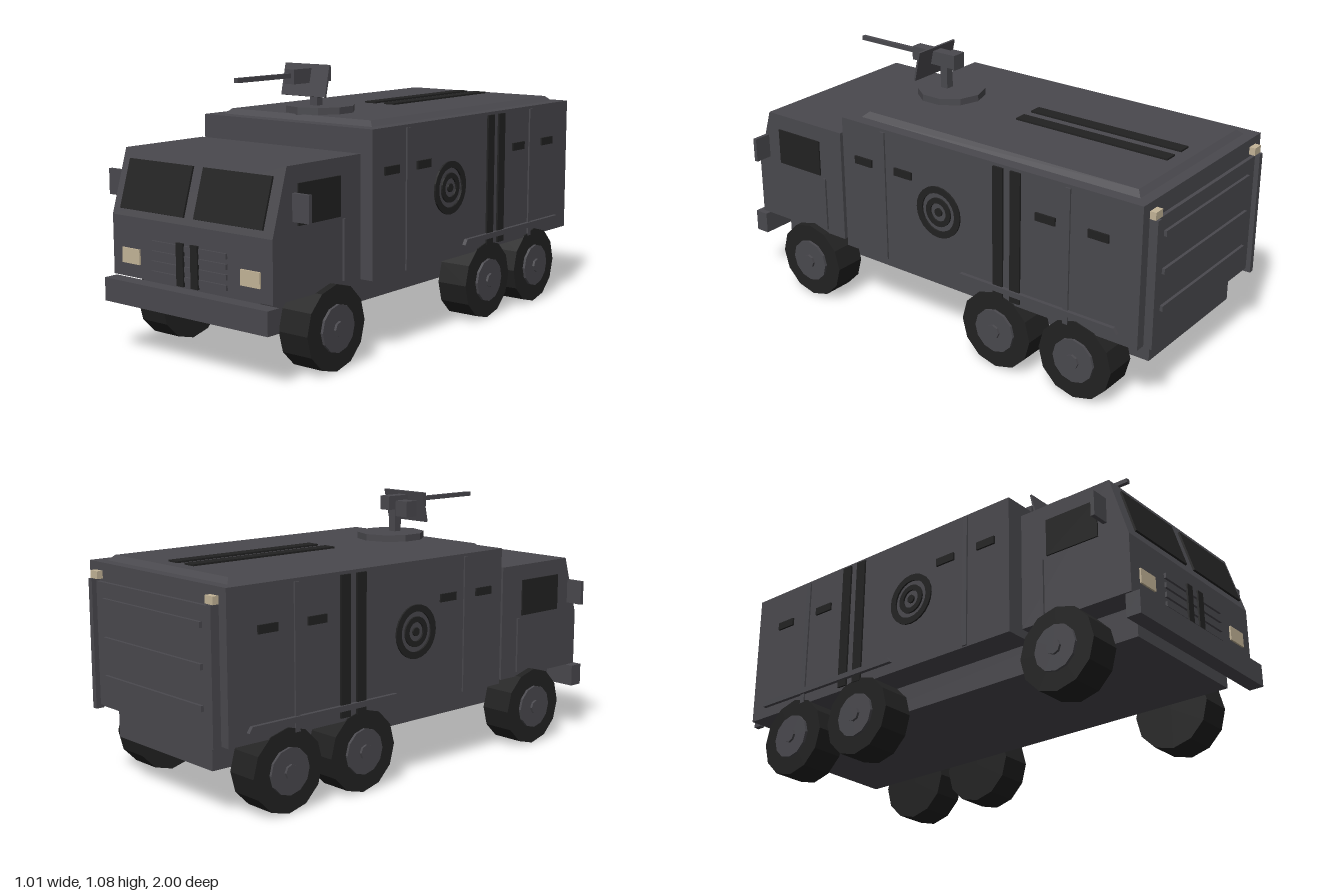
import * as THREE from 'three';

export function createModel() {
  const root = new THREE.Group();
  const material = (name, color) => {
    const m = new THREE.MeshStandardMaterial({ color });
    m.name = name;
    return m;
  };
  const paint = material('body grey', 0x4a494e);
  const dark = material('dark rubber and glass', 0x222222);
  const lamp = material('lamp beige', 0xc4b598);

  function add(name, geometry, mat, parent = root) {
    const g = geometry.index ? geometry.toNonIndexed() : geometry;
    g.computeVertexNormals(); // crisp facets
    const mesh = new THREE.Mesh(g, mat);
    mesh.name = name;
    parent.add(mesh);
    return mesh;
  }
  // Box given by its limits on each axis
  function box(name, mat, [x0, x1], [y0, y1], [z0, z1], parent) {
    const g = new THREE.BoxGeometry(x1 - x0, y1 - y0, z1 - z0);
    g.translate((x0 + x1) / 2, (y0 + y1) / 2, (z0 + z1) / 2);
    return add(name, g, mat, parent);
  }
  // Side profile of [z, y] points stretched between x0 and x1
  function profile(name, mat, points, x0, x1) {
    const shape = new THREE.Shape(points.map(([z, y]) => new THREE.Vector2(z, y)));
    const g = new THREE.ExtrudeGeometry(shape, { depth: x1 - x0, bevelEnabled: false });
    g.rotateY(-Math.PI / 2).translate(x1, 0, 0);
    return add(name, g, mat);
  }
  // Range on the side s (+1 or -1), in ascending order
  const side = (s, a, b) => (s > 0 ? [a, b] : [-b, -a]);

  // Chassis, cab, cargo body and bumper
  box('chassis', paint, [-0.3, 0.3], [0.18, 0.3], [-0.94, 0.91]);
  profile('cab', paint, [[0.48, 0.3], [0.96, 0.3], [0.96, 0.53], [0.885, 0.775], [0.48, 0.775]], -0.405, 0.405);
  box('cargoBody', paint, [-0.43, 0.43], [0.295, 0.862], [-0.965, 0.44]);
  box('frontBumper', paint, [-0.415, 0.415], [0.2, 0.29], [0.94, 1]);

  // Raised roof with sloping edges
  const roof = new THREE.BoxGeometry(0.76, 0.022, 1.3);
  const rp = roof.attributes.position;
  for (let i = 0; i < rp.count; i++) {
    if (rp.getY(i) > 0) rp.setXYZ(i, rp.getX(i) * 0.935, rp.getY(i), rp.getZ(i) * 0.965);
  }
  roof.translate(0, 0.872, -0.27);
  add('roof', roof, paint);
  for (const x of [-0.052, 0.048]) {
    box('roofStripe', dark, [x - 0.0275, x + 0.0275], [0.882, 0.89], [-0.845, -0.16]);
  }

  // Cab front
  const tilt = Math.atan2(0.075, 0.245);
  for (const s of [-1, 1]) {
    const glass = add('windscreen', new THREE.BoxGeometry(0.334, 0.19, 0.008), dark);
    glass.position.set(s * 0.193, 0.648, 0.932);
    glass.rotation.x = -tilt;
    box('headlight', lamp, side(s, 0.257, 0.35), [0.352, 0.41], [0.958, 0.967]);
    box('grilleStripe', dark, side(s, 0.019, 0.054), [0.305, 0.465], [0.966, 0.975]);
  }
  for (const y of [0.445, 0.407, 0.369, 0.331]) {
    box('grilleBar', paint, [-0.19, 0.19], [y - 0.01, y + 0.01], [0.955, 0.969]);
  }

  // Ring shaped decal lying on a side wall
  function ring(s, inner, outer) {
    const shape = new THREE.Shape().absarc(0, 0, outer, 0, Math.PI * 2);
    if (inner) shape.holes.push(new THREE.Path().absarc(0, 0, inner, 0, Math.PI * 2, true));
    const g = new THREE.ExtrudeGeometry(shape, { depth: 0.008, bevelEnabled: false, curveSegments: 12 });
    g.rotateY(s * Math.PI / 2).translate(s * 0.429, 0.585, -0.055);
    add('targetRing', g, dark);
  }

  for (const s of [-1, 1]) {
    // Cab side
    box('sideWindow', dark, side(s, 0.403, 0.411), [0.56, 0.71], [0.6, 0.83]);
    box('doorStrip', paint, side(s, 0.4, 0.413), [0.32, 0.55], [0.572, 0.584]);
    box('mirror', paint, side(s, 0.43, 0.505), [0.585, 0.685], [0.87, 0.886]);

    // Cargo body side
    for (const z of [0.225, -0.655]) {
      box('wallSeam', paint, side(s, 0.425, 0.437), [0.3, 0.85], [z - 0.011, z + 0.011]);
    }
    for (const z of [-0.343, -0.423]) {
      box('sideStripe', dark, side(s, 0.429, 0.438), [0.31, 0.85], [z - 0.023, z + 0.023]);
    }
    for (const z of [0.328, 0.123, -0.558, -0.788]) {
      box('visionSlot', dark, side(s, 0.429, 0.438), [0.684, 0.716], [z - 0.044, z + 0.044]);
    }
    ring(s, 0.08, 0.107);
    ring(s, 0.038, 0.06);
    ring(s, 0, 0.017);
    const [r0, r1] = side(s, 0.428, 0.446);
    profile('sideRail', paint, [[-0.885, 0.338], [-0.15, 0.338], [-0.165, 0.36], [-0.87, 0.36]], r0, r1);

    // Rear posts and lamps
    box('rearPost', paint, side(s, 0.365, 0.388), [0.29, 0.8], [-1, -0.965]);
    box('rearLamp', lamp, side(s, 0.342, 0.388), [0.8, 0.83], [-0.99, -0.965]);
  }

  // Rear door with ribs
  box('rearDoor', paint, [-0.385, 0.385], [0.305, 0.79], [-0.98, -0.96]);
  for (const y of [0.42, 0.57, 0.72]) {
    box('rearDoorRib', paint, [-0.31, 0.31], [y - 0.011, y + 0.011], [-0.992, -0.978]);
  }

  // Six wheels with stepped hubs
  const disc = (x0, x1, r, n) =>
    new THREE.CylinderGeometry(r, r, x1 - x0, n).rotateZ(Math.PI / 2).translate((x0 + x1) / 2, 0, 0);
  for (const z of [0.655, -0.333, -0.7]) {
    for (const s of [-1, 1]) {
      const wheel = new THREE.Group();
      wheel.name = 'wheel';
      wheel.position.set(0, 0.162, z);
      add('tyre', disc(...side(s, 0.3, 0.435), 0.162, 12), dark, wheel);
      add('rim', disc(...side(s, 0.42, 0.446), 0.09, 12), paint, wheel);
      add('hubCap', disc(...side(s, 0.44, 0.456), 0.029, 8), paint, wheel);
      root.add(wheel);
    }
  }

  // Roof gun on a turntable
  const gun = new THREE.Group();
  gun.name = 'roofGun';
  root.add(gun);
  add('turntable', new THREE.CylinderGeometry(0.139, 0.139, 0.03, 10).translate(0, 0.895, 0.225), paint, gun);
  box('gunPost', paint, [-0.018, 0.018], [0.91, 1.01], [0.233, 0.267], gun);
  box('gunReceiver', paint, [-0.025, 0.025], [1.003, 1.06], [0.19, 0.41], gun);
  box('gunBarrel', paint, [-0.009, 0.009], [1.026, 1.044], [0.41, 0.705], gun);
  box('ammoBox', paint, [-0.09, -0.025], [0.975, 1.04], [0.23, 0.287], gun);
  const shield = add('gunShield', new THREE.BoxGeometry(0.225, 0.127, 0.008), paint, gun);
  shield.position.set(0, 1.013, 0.314);
  shield.rotation.x = -0.22;

  return root;
}
